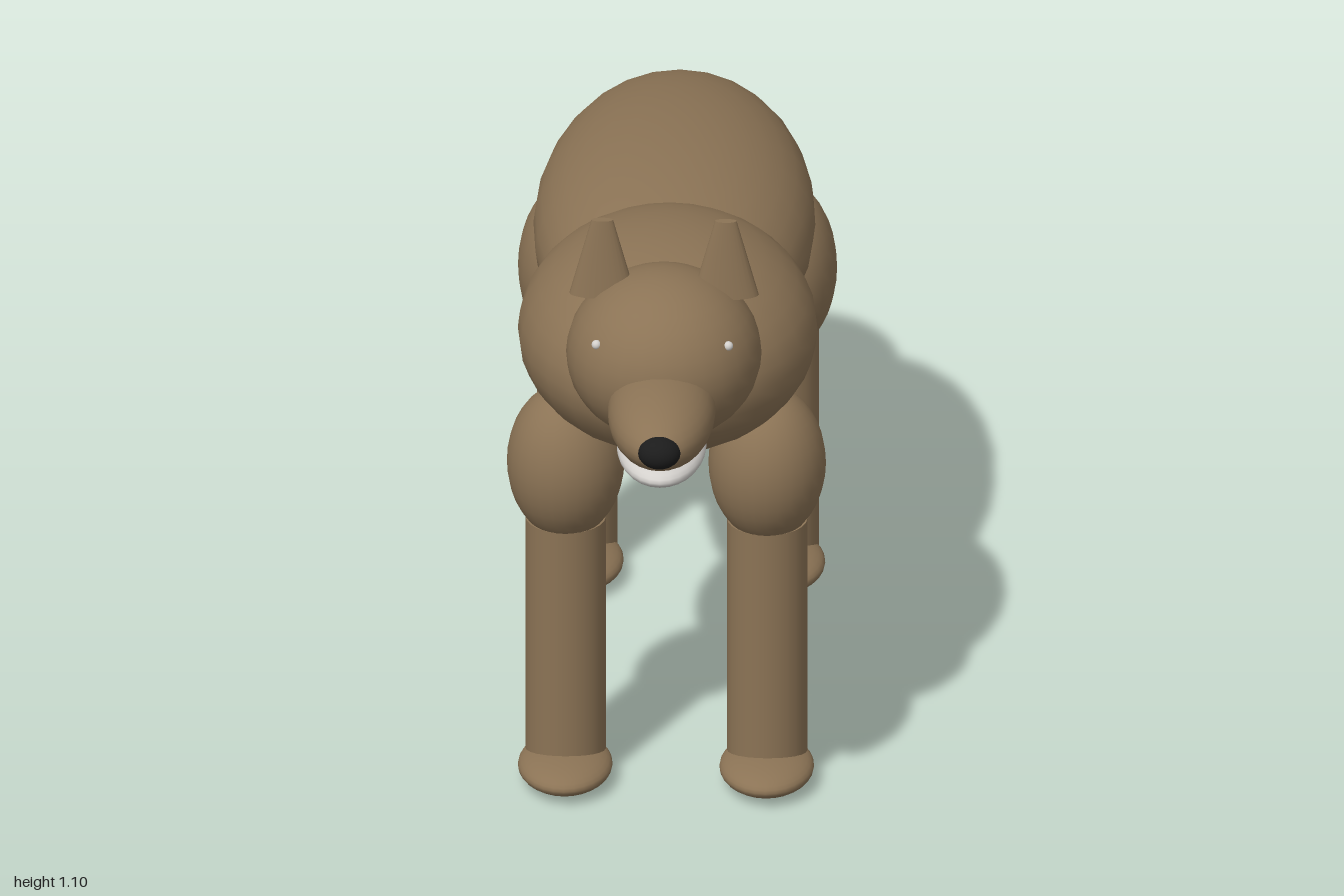
import * as THREE from 'three';

export function createModel() {
  const root = new THREE.Group();
  root.name = 'canine';

  const mat = (name, color) => {
    const m = new THREE.MeshStandardMaterial({ color });
    m.name = name;
    return m;
  };
  const fur = mat('brown fur', 0x8b7355);
  const pale = mat('pale fur', 0xd3d0cc);
  const black = mat('black nose', 0x1c1c1c);

  const add = (name, geometry, material, pos, parent = root) => {
    const mesh = new THREE.Mesh(geometry, material);
    mesh.name = name;
    mesh.position.set(...pos);
    parent.add(mesh);
    return mesh;
  };
  // Ellipsoid with its poles along y
  const blob = (name, material, pos, radii, parent = root, tilt = 0) => {
    const g = new THREE.SphereGeometry(1, 28, 18).scale(...radii).rotateX(tilt);
    return add(name, g, material, pos, parent);
  };

  // Torso
  blob('body', fur, [0, 0.745, -0.1], [0.235, 0.155, 0.5]);
  blob('chest', fur, [0, 0.775, 0.37], [0.25, 0.175, 0.32]);
  blob('belly', pale, [0, 0.7, 0.15], [0.175, 0.115, 0.42]);

  // Head
  const head = new THREE.Group();
  head.name = 'head';
  root.add(head);
  blob('skull', fur, [0, 0.865, 0.65], [0.163, 0.145, 0.17], head);
  blob('snout', fur, [0, 0.827, 0.8], [0.09, 0.066, 0.19], head);
  blob('jaw', pale, [0, 0.765, 0.8], [0.075, 0.032, 0.155], head);
  blob('nose', black, [0, 0.83, 0.967], [0.036, 0.028, 0.033], head);
  for (const s of [1, -1]) {
    const side = s > 0 ? 'left' : 'right';
    blob(side + 'Eye', pale, [s * 0.11, 0.925, 0.752], [0.008, 0.008, 0.008], head);
    // Flattened, blunt cones for ears
    const ear = new THREE.CylinderGeometry(0.018, 0.055, 0.135, 24).scale(1, 1, 0.44);
    add(side + 'Ear', ear, fur, [s * 0.103, 1.0325, 0.635], head);
  }

  // Tail slopes down and back
  const slope = -0.61;
  blob('tail', fur, [0, 0.61, -0.7], [0.1, 0.1, 0.29], root, slope);
  blob('tailTip', pale, [0, 0.459, -0.923], [0.06, 0.06, 0.085], root, slope);

  // Legs: thigh or shoulder, straight shank, flat paw
  const legs = [
    { name: 'Front', top: [0.575, 0.465], radii: [0.098, 0.135, 0.105], shank: 0.463, paw: 0.497 },
    { name: 'Back', top: [0.56, -0.325], radii: [0.098, 0.15, 0.133], shank: -0.353, paw: -0.293 },
  ];
  for (const leg of legs) {
    for (const s of [1, -1]) {
      const g = new THREE.Group();
      g.name = (s > 0 ? 'left' : 'right') + leg.name + 'Leg';
      root.add(g);
      const x = s * 0.168;
      blob('upperLeg', fur, [x, leg.top[0], leg.top[1]], leg.radii, g);
      add('lowerLeg', new THREE.CylinderGeometry(0.067, 0.067, 0.44, 24), fur, [x, 0.25, leg.shank], g);
      blob('paw', fur, [x, 0.03, leg.paw], [0.079, 0.03, 0.112], g);
    }
  }

  return root;
}
